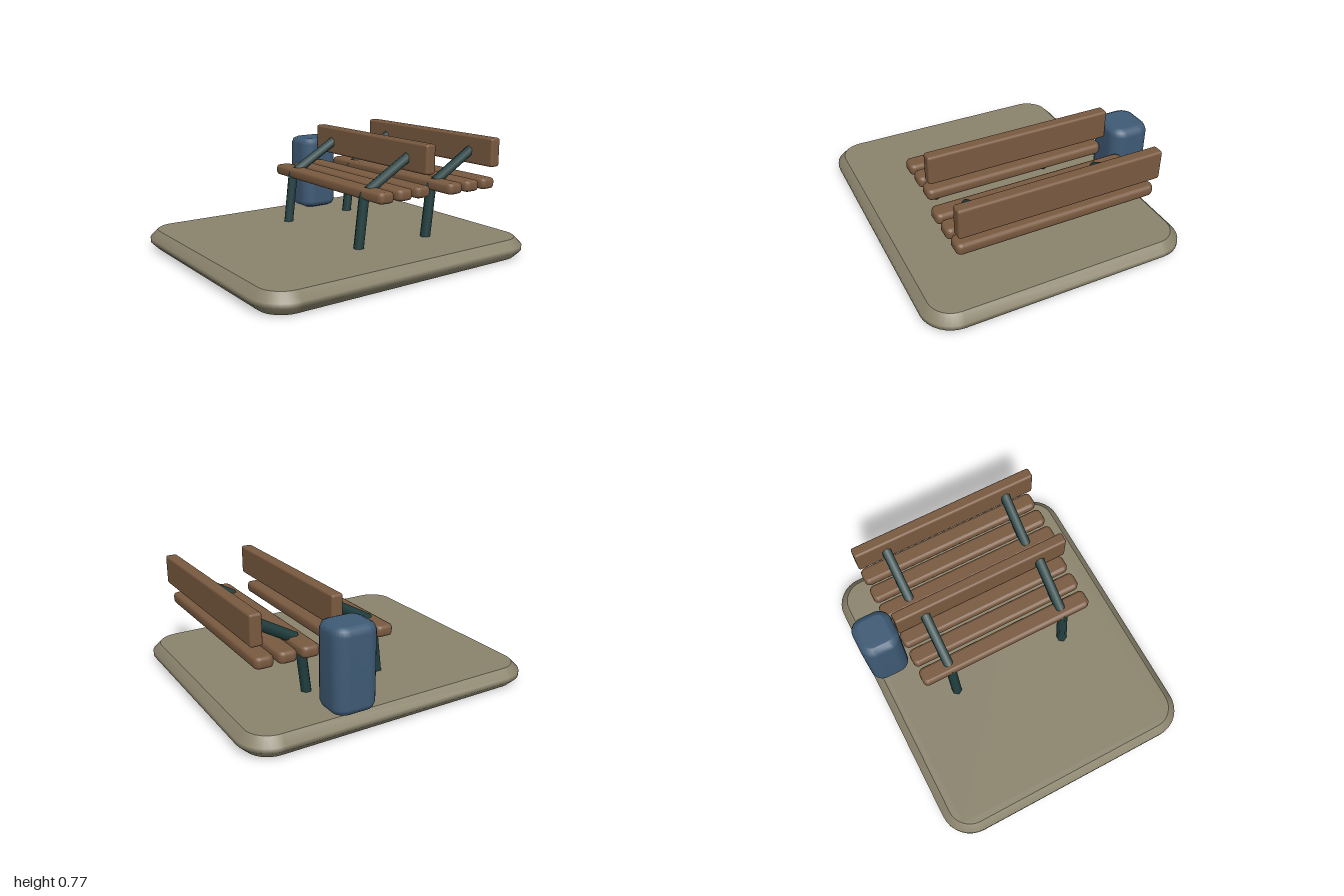
import * as THREE from 'three';
import { mergeVertices, mergeGeometries } from 'three/addons/utils/BufferGeometryUtils.js';
import { RoundedBoxGeometry } from 'three/addons/geometries/RoundedBoxGeometry.js';

// Rounded rectangle slab standing on y = 0: flat caps, smooth bevelled rim
function slab(w, h, d, radius, bevel, bevelSegments, curveSegments) {
  const x = w / 2 - bevel, y = d / 2 - bevel, r = radius - bevel;
  const s = new THREE.Shape();
  s.absarc(x - r, y - r, r, 0, Math.PI / 2);
  s.absarc(-x + r, y - r, r, Math.PI / 2, Math.PI);
  s.absarc(-x + r, -y + r, r, Math.PI, Math.PI * 1.5);
  s.absarc(x - r, -y + r, r, Math.PI * 1.5, Math.PI * 2);
  const ext = new THREE.ExtrudeGeometry(s, {
    depth: h - 2 * bevel, bevelEnabled: true, bevelSize: bevel,
    bevelThickness: bevel, bevelSegments, curveSegments,
  });
  const pos = ext.getAttribute('position').array;
  const parts = ext.groups.map(({ start, count }) => {
    const g = new THREE.BufferGeometry();
    g.setAttribute('position', new THREE.BufferAttribute(pos.slice(start * 3, (start + count) * 3), 3));
    const merged = mergeVertices(g, 1e-5);
    merged.computeVertexNormals();
    return merged;
  });
  return mergeGeometries(parts).translate(0, 0, bevel).rotateX(-Math.PI / 2);
}

export function createModel() {
  const model = new THREE.Group();
  model.name = 'benchCorner';
  const material = (name, color) => {
    const m = new THREE.MeshStandardMaterial({ color });
    m.name = name;
    return m;
  };
  const stone = material('stone', 0x8b846d);
  const wood = material('wood', 0x7a5a40);
  const iron = material('dark green iron', 0x213f40);
  const blue = material('blue', 0x3f5b76);

  const add = (parent, name, geometry, mat, x, y, z) => {
    const mesh = new THREE.Mesh(geometry, mat);
    mesh.name = name;
    mesh.position.set(x, y, z);
    parent.add(mesh);
    return mesh;
  };

  // Six-sided bar between two points in the side plane, each given as [y, z]
  const bar = (parent, name, x, [y0, z0], [y1, z1]) => {
    const dir = new THREE.Vector3(0, y1 - y0, z1 - z0);
    const mesh = add(parent, name, new THREE.CylinderGeometry(0.035, 0.035, dir.length(), 6),
      iron, x, (y0 + y1) / 2, (z0 + z1) / 2);
    mesh.quaternion.setFromUnitVectors(new THREE.Vector3(0, 1, 0), dir.normalize());
  };

  // Ground slab
  add(model, 'base', slab(1.74, 0.13, 2, 0.2, 0.05, 1, 4), stone, 0, 0, 0);

  // Bench: three seat slats, one backrest plank, two legs with back supports
  const bench = (name, width, legX, z) => {
    const g = new THREE.Group();
    g.name = name;
    g.position.z = z;
    const slat = slab(width, 0.07, 0.118, 0.036, 0.02, 2, 3);
    for (const sz of [0.022, -0.123, -0.267]) add(g, 'seatSlat', slat, wood, 0, 0.436, sz);
    add(g, 'backrest', new RoundedBoxGeometry(width, 0.19, 0.076, 2, 0.016), wood, 0, 0.671, -0.315);
    for (const side of [-1, 1]) {
      bar(g, 'leg', side * legX, [0.125, 0.093], [0.48, 0.05]);
      bar(g, 'backSupport', side * legX, [0.485, 0.025], [0.675, -0.31]);
    }
    model.add(g);
  };
  bench('frontBench', 1.21, 0.41, 0);
  bench('rearBench', 1.29, 0.437, -0.525);

  // Litter bin beside the benches
  add(model, 'bin', slab(0.265, 0.525, 0.285, 0.085, 0.045, 2, 3), blue, -0.739, 0.135, -0.333);
  return model;
}
